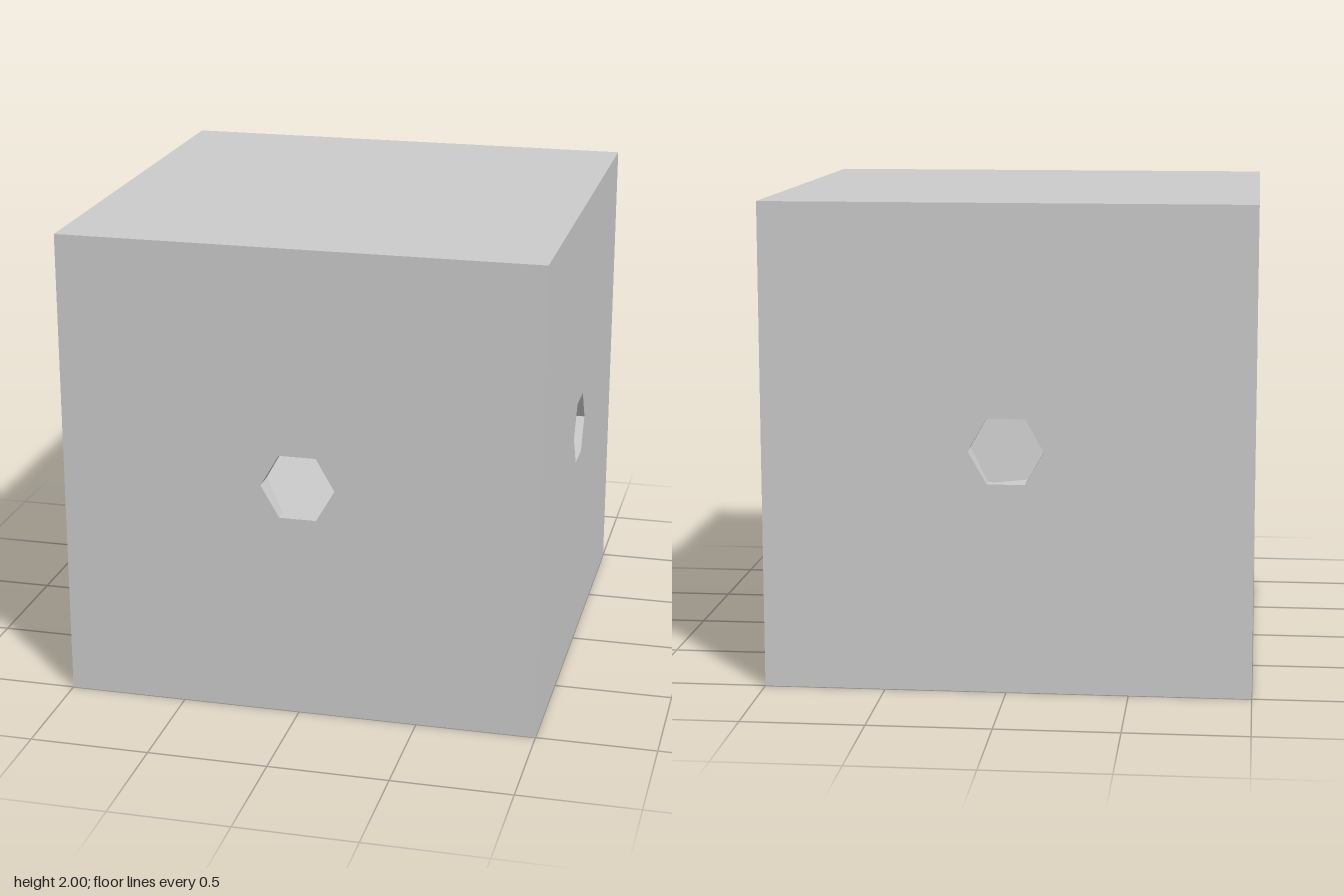
import * as THREE from 'three';

const HOLE = 0.155;              // corner radius of the hexagonal holes
const ROOM = 0.99;               // corner radius of the hexagonal cavity
const FLAT = ROOM * Math.cos(Math.PI / 6);
const MID = 1, FLOOR = 0.5, CEILING = 1.95;

const material = new THREE.MeshStandardMaterial({ color: 0xcccccc, flatShading: true });
const H = HOLE * Math.sin(Math.PI / 3);

// hexagon with extra points halfway along its flat top and bottom
const outline = [
  [HOLE, 0], [HOLE / 2, H], [0, H], [-HOLE / 2, H],
  [-HOLE, 0], [-HOLE / 2, -H], [0, -H], [HOLE / 2, -H],
].map(([x, y]) => new THREE.Vector2(x, MID + y));

// rectangular panel with a hexagonal hole, facing +z
function panel(halfWidth, bottom, top, z) {
  const shape = new THREE.Shape([
    new THREE.Vector2(-halfWidth, bottom), new THREE.Vector2(halfWidth, bottom),
    new THREE.Vector2(halfWidth, top), new THREE.Vector2(-halfWidth, top),
  ]);
  shape.holes.push(new THREE.Path(outline));
  return new THREE.ShapeGeometry(shape).translate(0, 0, z);
}

// tunnel walls from the outer face z = 1 back to the cavity surface
function tunnel(innerZ) {
  const v = [];
  outline.forEach((p, i) => {
    const q = outline[(i + 1) % outline.length];
    const a = [p.x, p.y, 1], b = [q.x, q.y, 1];
    const c = [p.x, p.y, innerZ(p.x)], d = [q.x, q.y, innerZ(q.x)];
    v.push(...a, ...b, ...c, ...b, ...d, ...c);
  });
  const g = new THREE.BufferGeometry();
  g.setAttribute('position', new THREE.Float32BufferAttribute(v, 3));
  g.computeVertexNormals();
  return g;
}

// slanted cavity wall beside the back corner, notched by half of the hole
function slantedWall() {
  const shape = new THREE.Shape([
    [0, FLOOR], [FLAT, FLOOR], [FLAT, CEILING], [0, CEILING],
    [0, MID + H], [HOLE / 2, MID + H], [HOLE, MID], [HOLE / 2, MID - H], [0, MID - H],
  ].map(([x, y]) => new THREE.Vector2(x, y)));
  const g = new THREE.ShapeGeometry(shape);
  const pos = g.attributes.position;
  for (let i = 0; i < pos.count; i++) pos.setZ(i, -cornerZ(pos.getX(i)));
  g.computeVertexNormals();
  return g;
}

const cornerZ = (x) => ROOM - Math.abs(x) * Math.tan(Math.PI / 6);

export function createModel() {
  const model = new THREE.Group();
  model.name = 'hollowCube';
  const add = (name, geometry, turn = 0, mirror = 1) => {
    const mesh = new THREE.Mesh(geometry, material);
    mesh.name = name;
    mesh.rotation.y = turn;
    mesh.scale.x = mirror;
    model.add(mesh);
  };

  // outer faces
  const face = panel(1, 0, 2, 1);
  ['front', 'left', 'back', 'right'].forEach((side, i) => add(side + 'Face', face, i * Math.PI / 2));
  add('topFace', new THREE.PlaneGeometry(2, 2).rotateX(-Math.PI / 2).translate(0, 2, 0));
  add('bottomFace', new THREE.PlaneGeometry(2, 2).rotateX(Math.PI / 2));

  // holes and hexagonal cavity, one half turn apart
  const cornerTunnel = tunnel(cornerZ);
  const flatTunnel = tunnel(() => FLAT);
  const flatWall = panel(ROOM / 2, FLOOR, CEILING, -FLAT);
  const slant = slantedWall();
  for (const turn of [0, Math.PI]) {
    add('cornerTunnel', cornerTunnel, turn);
    add('sideTunnel', flatTunnel, turn + Math.PI / 2);
    add('cavitySideWall', flatWall, turn + Math.PI / 2);
    for (const mirror of [1, -1]) add('cavitySlantedWall', slant, turn, mirror);
  }

  // cavity floor and ceiling
  const hexagon = () => new THREE.CircleGeometry(ROOM, 6, Math.PI / 2);
  add('cavityFloor', hexagon().rotateX(-Math.PI / 2).translate(0, FLOOR, 0));
  add('cavityCeiling', hexagon().rotateX(Math.PI / 2).translate(0, CEILING, 0));
  return model;
}
